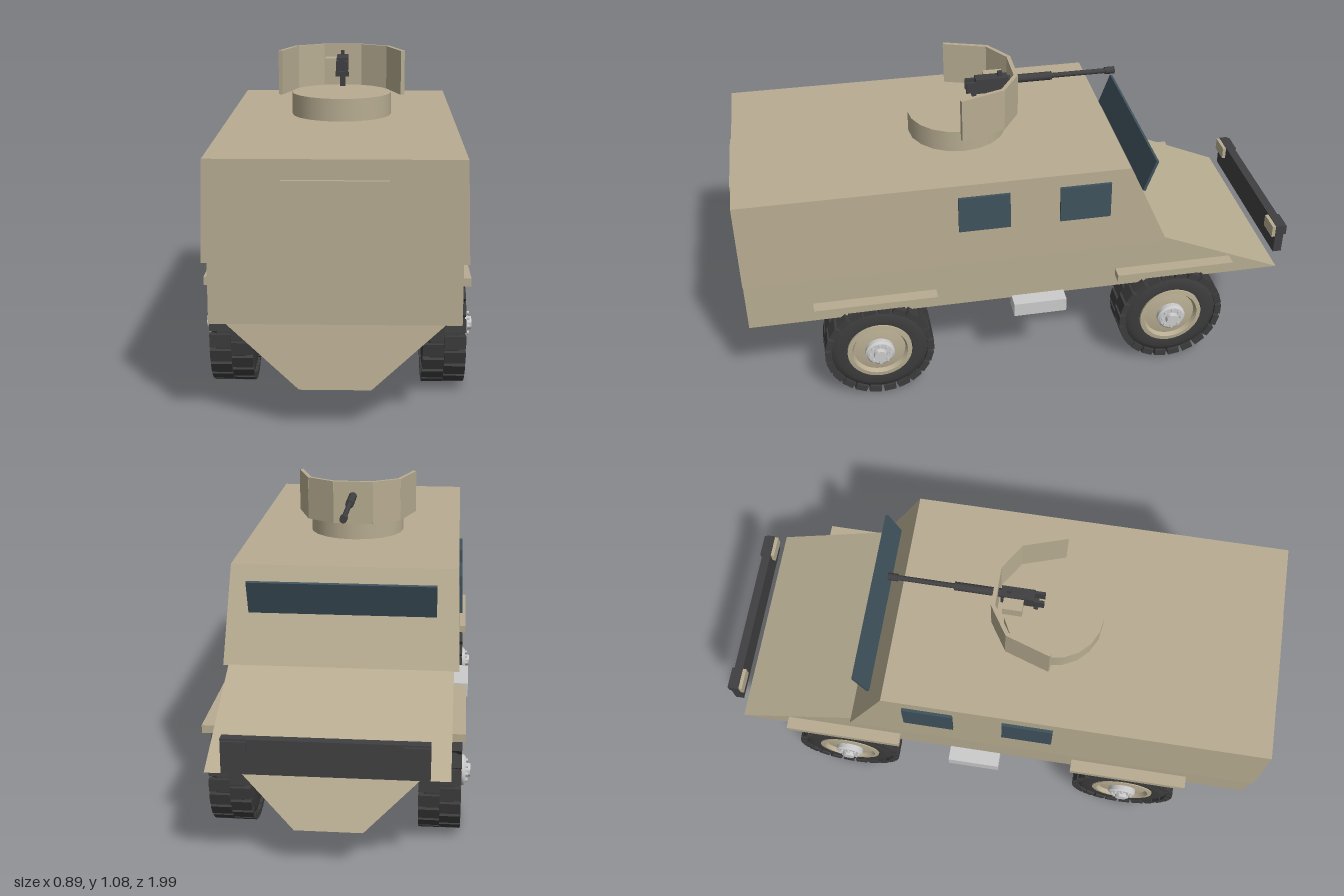
import * as THREE from 'three';
import { mergeGeometries, toCreasedNormals } from 'three/addons/utils/BufferGeometryUtils.js';

const mat = (color, extra = {}) => new THREE.MeshStandardMaterial({ color, ...extra });
const tan = mat(0xb8ad92);
const glass = mat(0x3f525c);
const rubber = mat(0x3c3c3c);
const dark = mat(0x404042);
const grey = mat(0xcccccc);

function add(parent, name, geometry, material, x = 0, y = 0, z = 0) {
  const mesh = new THREE.Mesh(geometry, material);
  mesh.name = name;
  mesh.position.set(x, y, z);
  parent.add(mesh);
  return mesh;
}

// Box given by its minimum and maximum corners
function block(parent, name, material, [x0, y0, z0], [x1, y1, z1]) {
  return add(parent, name, new THREE.BoxGeometry(x1 - x0, y1 - y0, z1 - z0), material,
    (x0 + x1) / 2, (y0 + y1) / 2, (z0 + z1) / 2);
}

// Tapered box; each level is [y, halfWidth, noseZ, tailZ]
function taperedBox(low, high) {
  const g = new THREE.BoxGeometry(2, 2, 2).toNonIndexed();
  const p = g.attributes.position;
  for (let i = 0; i < p.count; i++) {
    const [y, w, nose, tail] = p.getY(i) < 0 ? low : high;
    p.setXYZ(i, p.getX(i) * w, y, p.getZ(i) < 0 ? nose : tail);
  }
  g.computeVertexNormals();
  return g;
}

// Solid of revolution about the x axis, profile points are [radius, x]
function turned(profile, segments) {
  const g = new THREE.LatheGeometry(profile.map(([r, x]) => new THREE.Vector2(r, x)), segments);
  g.rotateZ(-Math.PI / 2);
  return toCreasedNormals(g, 0.6);
}

// Wheel with its outer side towards +x
function makeWheel() {
  const wheel = new THREE.Group();
  add(wheel, 'tyre', turned([[0, -0.065], [0.15, -0.065], [0.174, -0.058], [0.186, -0.045],
    [0.186, 0.045], [0.174, 0.058], [0.15, 0.068], [0.118, 0.066], [0.112, 0.045], [0, 0.045]], 40), rubber);
  // Two staggered rows of tread lugs
  const lugs = [];
  const count = 22;
  for (const side of [-1, 1]) {
    for (let i = 0; i < count; i++) {
      const lug = new THREE.BoxGeometry(0.069, 0.024, 0.043);
      lug.translate(side * 0.035, 0.183, 0);
      lug.rotateX(((i + (side > 0 ? 0.5 : 0)) / count) * Math.PI * 2);
      lugs.push(lug);
    }
  }
  add(wheel, 'treadLugs', mergeGeometries(lugs), rubber);
  add(wheel, 'rim', turned([[0.116, 0.04], [0.116, 0.069], [0.1, 0.071], [0.092, 0.056],
    [0.06, 0.062], [0, 0.062]], 32), tan);
  add(wheel, 'hub', turned([[0.052, 0.05], [0.052, 0.078], [0.044, 0.084], [0.024, 0.084],
    [0.022, 0.1], [0, 0.1]], 24), grey);
  const bolts = [];
  for (let i = 0; i < 8; i++) {
    const bolt = new THREE.CylinderGeometry(0.006, 0.006, 0.012, 6);
    bolt.rotateZ(Math.PI / 2);
    bolt.translate(0.086, 0.036, 0);
    bolt.rotateX((i / 8) * Math.PI * 2);
    bolts.push(bolt);
  }
  add(wheel, 'wheelBolts', mergeGeometries(bolts), grey);
  return wheel;
}

function makeTurret() {
  const turret = new THREE.Group();
  turret.name = 'turret';
  add(turret, 'turretRing', new THREE.CylinderGeometry(0.175, 0.175, 0.08, 20), tan, 0, 0.89, 0.185);

  // Folded shield: flat plates along a half outline, mirrored
  const half = [[0.07, -0.017], [0.165, 0.045], [0.214, 0.195]];
  const outline = [...half.map(([x, z]) => [-x, z]).reverse(), ...half];
  for (let i = 0; i < outline.length - 1; i++) {
    const [ax, az] = outline[i];
    const [bx, bz] = outline[i + 1];
    const plate = add(turret, 'shieldPlate',
      new THREE.BoxGeometry(Math.hypot(bx - ax, bz - az) + 0.006, 0.155, 0.014), tan,
      (ax + bx) / 2, 0.998, (az + bz) / 2);
    plate.rotation.y = -Math.atan2(bz - az, bx - ax);
  }

  // Gun
  const gun = new THREE.Group();
  gun.name = 'gun';
  turret.add(gun);
  const tube = (name, r, z0, z1) => {
    const g = new THREE.CylinderGeometry(r, r, z1 - z0, 12);
    g.rotateX(Math.PI / 2);
    add(gun, name, g, dark, 0, 1.022, (z0 + z1) / 2);
  };
  tube('barrel', 0.009, -0.37, 0.02);
  tube('barrelJacket', 0.015, -0.16, 0.02);
  tube('muzzle', 0.013, -0.39, -0.355);
  block(gun, 'receiver', dark, [-0.02, 0.985, 0], [0.02, 1.04, 0.115]);
  block(gun, 'sight', dark, [-0.006, 1.04, 0.02], [0.006, 1.058, 0.035]);
  block(gun, 'backplate', dark, [-0.024, 0.975, 0.115], [0.024, 0.992, 0.13]);
  for (const s of [-1, 1]) block(gun, 'grip', dark, [s * 0.016 - 0.005, 0.99, 0.115], [s * 0.016 + 0.005, 1.03, 0.15]);
  block(gun, 'gunPost', dark, [-0.01, 0.925, 0.04], [0.01, 0.99, 0.06]);
  block(gun, 'ammoBox', tan, [-0.062, 0.985, 0.012], [-0.02, 1.033, 0.08]);
  return turret;
}

export function createModel() {
  const model = new THREE.Group();
  model.name = 'armouredTruck';

  // Body: V-shaped belly, lower hull with sloping bonnet, cabin
  add(model, 'belly', taperedBox([0.135, 0.11, -0.903, 0.982], [0.347, 0.347, -0.81, 0.953]), tan);
  add(model, 'lowerHull', taperedBox([0.345, 0.382, -0.945, 0.983], [0.54, 0.382, -0.495, 0.983]), tan);
  add(model, 'cabin', taperedBox([0.535, 0.4, -0.503, 0.983], [0.852, 0.39, -0.36, 0.983]), tan);
  block(model, 'rearDoor', tan, [-0.16, 0.375, 0.975], [0.16, 0.79, 0.996]);

  // Windscreen flap, standing out from the sloping cabin front
  const screen = add(model, 'windscreen', new THREE.BoxGeometry(0.64, 0.125, 0.01), glass, 0, 0.764, -0.453);
  screen.rotation.x = -0.34;

  for (const s of [-1, 1]) {
    // Side windows follow the slight lean of the cabin wall
    for (const z of [0.152, -0.2]) {
      const pane = add(model, 'sideWindow', new THREE.BoxGeometry(0.016, 0.132, 0.178), glass, s * 0.396, 0.74, z);
      pane.rotation.z = s * 0.03;
    }
    for (const z of [0.54, -0.54]) {
      const fender = add(model, 'fender', new THREE.BoxGeometry(0.055, 0.027, 0.43), tan, s * 0.398, 0.407, z);
      fender.name = z > 0 ? 'rearFender' : 'frontFender';
      const wheel = makeWheel();
      wheel.name = z > 0 ? 'rearWheel' : 'frontWheel';
      wheel.position.set(s * 0.346, 0.196, z);
      if (s < 0) wheel.rotation.y = Math.PI;
      model.add(wheel);
    }
    add(model, 'step', new THREE.BoxGeometry(0.075, 0.052, 0.19), grey, s * 0.398, 0.326, -0.04);
    // Bumper brackets and lamps
    const lamp = s * 0.278;
    add(model, 'bumperBracket', new THREE.BoxGeometry(0.08, 0.045, 0.018), tan, lamp, 0.455, -0.951);
    add(model, 'lamp', new THREE.BoxGeometry(0.08, 0.036, 0.014), dark, lamp, 0.457, -0.99);
  }
  block(model, 'bumper', dark, [-0.32, 0.365, -0.987], [0.32, 0.48, -0.955]);

  model.add(makeTurret());
  return model;
}
